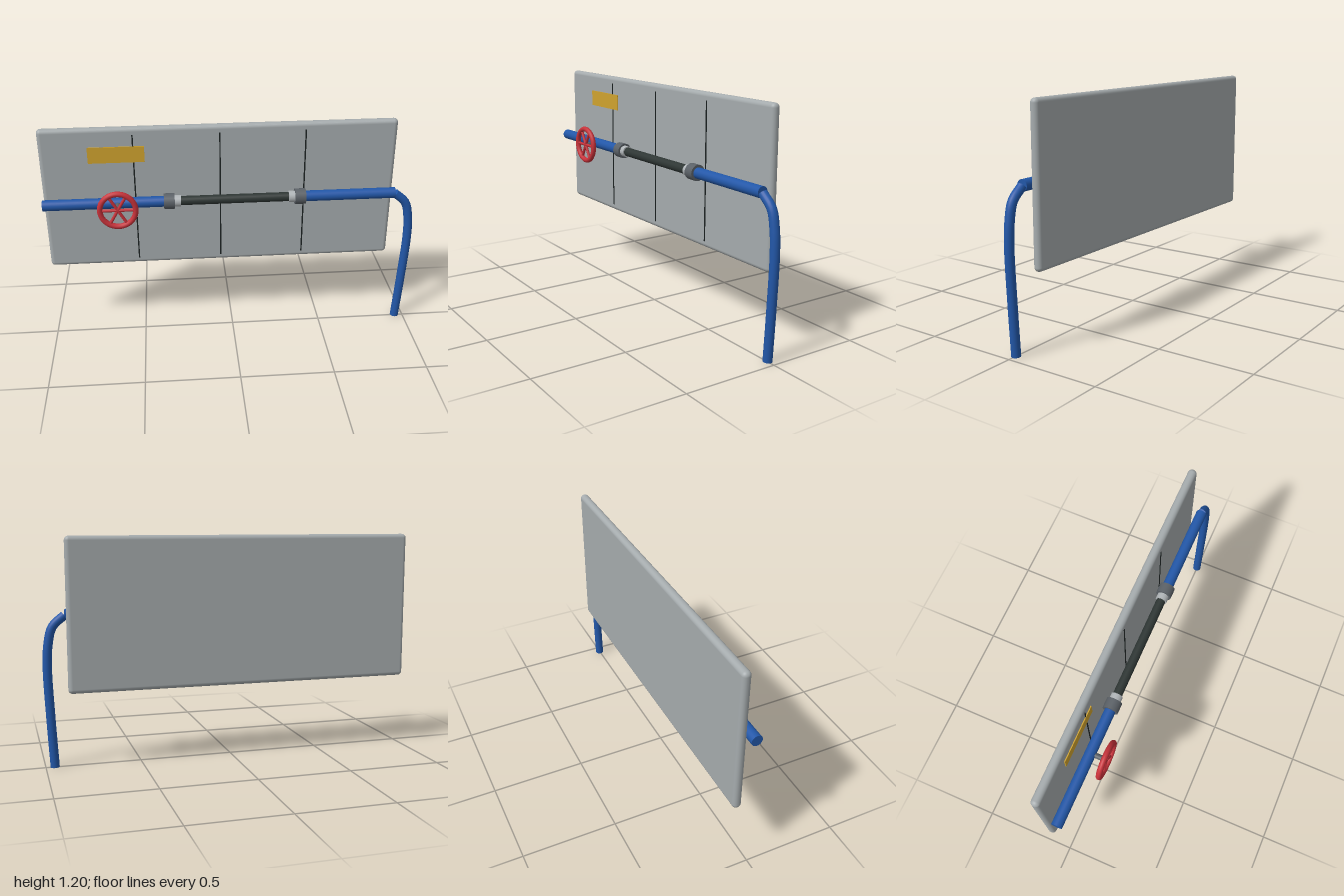
import * as THREE from 'three';
import { RoundedBoxGeometry } from 'three/addons/geometries/RoundedBoxGeometry.js';

const material = (name, color) => {
  const m = new THREE.MeshStandardMaterial({ color });
  m.name = name;
  return m;
};

export function createModel() {
  const model = new THREE.Group();
  model.name = 'pipePanel';
  const grey = material('panel grey', 0xa5abad);
  const blue = material('pipe blue', 0x2257a8);
  const red = material('wheel red', 0xc8323a);
  const steel = material('dark steel', 0x5b6167);
  const silver = material('silver', 0xb0b5b8);
  const rubber = material('rubber', 0x2e3634);
  const black = material('seam black', 0x1c2222);
  const yellow = material('plate yellow', 0xd0a32e);
  const pipeY = 0.8, pipeZ = -0.002;

  const add = (name, geometry, mat, x, y, z, parent = model) => {
    const mesh = new THREE.Mesh(geometry, mat);
    mesh.name = name;
    mesh.position.set(x, y, z);
    parent.add(mesh);
    return mesh;
  };
  // Cylinder lying along x from x0 to x1
  const pipe = (name, mat, x0, x1, r0, r1 = r0) =>
    add(name, new THREE.CylinderGeometry(r1, r0, x1 - x0, 24).rotateZ(-Math.PI / 2),
      mat, (x0 + x1) / 2, pipeY, pipeZ);

  // Wall panel with seams and a label plate
  add('panel', new RoundedBoxGeometry(1.88, 0.8, 0.046, 4, 0.022), grey, -0.06, 0.8, -0.074);
  for (const x of [-0.514, -0.062, 0.39])
    add('seam', new THREE.BoxGeometry(0.007, 0.725, 0.004), black, x, 0.798, -0.05);
  add('labelPlate', new THREE.BoxGeometry(0.294, 0.088, 0.006), yellow, -0.603, 1.055, -0.049);

  // Straight pipe run
  pipe('leftPipe', blue, -1, -0.34, 0.029);
  pipe('rightPipe', blue, 0.36, 0.88, 0.029);
  pipe('rubberHose', rubber, -0.3, 0.326, 0.0245);

  // Couplings, mirrored about the middle of the hose
  for (const side of [-1, 1]) {
    const at = (d) => 0.013 + side * d;
    const span = (a, b) => [Math.min(at(a), at(b)), Math.max(at(a), at(b))];
    pipe('couplingNut', steel, ...span(0.321, 0.378), 0.042);
    pipe('couplingRing', silver, ...span(0.288, 0.325), 0.031);
  }

  // Valve stem and handwheel
  const valve = new THREE.Group();
  valve.name = 'valve';
  valve.position.set(-0.605, pipeY, 0);
  model.add(valve);
  add('valveStem', new THREE.CylinderGeometry(0.014, 0.014, 0.09, 16).rotateX(Math.PI / 2),
    steel, 0, 0, 0.04, valve);
  add('wheelRim', new THREE.TorusGeometry(0.093, 0.0145, 12, 40), red, 0, 0, 0.085, valve);
  for (let i = 0; i < 3; i++)
    add('wheelSpoke', new THREE.CylinderGeometry(0.008, 0.008, 0.186, 10), red, 0, 0, 0.085, valve)
      .rotation.z = Math.PI / 2 + i * Math.PI / 3;

  // Drain tube bending down to the floor
  const path = new THREE.CatmullRomCurve3([
    [0.882, 0.797], [0.945, 0.738], [0.969, 0.645], [0.976, 0.53], [0.967, 0.27], [0.953, 0.001],
  ].map(([x, y]) => new THREE.Vector3(x, y, pipeZ)));
  const r = 0.0235;
  add('drainTube', new THREE.TubeGeometry(path, 40, r, 20), blue, 0, 0, 0);
  for (const t of [0, 1]) {
    const p = path.getPointAt(t);
    const outward = path.getTangentAt(t).multiplyScalar(t ? 1 : -1);
    add('drainTubeEnd', new THREE.CircleGeometry(r, 20), blue, p.x, p.y, p.z)
      .quaternion.setFromUnitVectors(new THREE.Vector3(0, 0, 1), outward);
  }
  return model;
}
